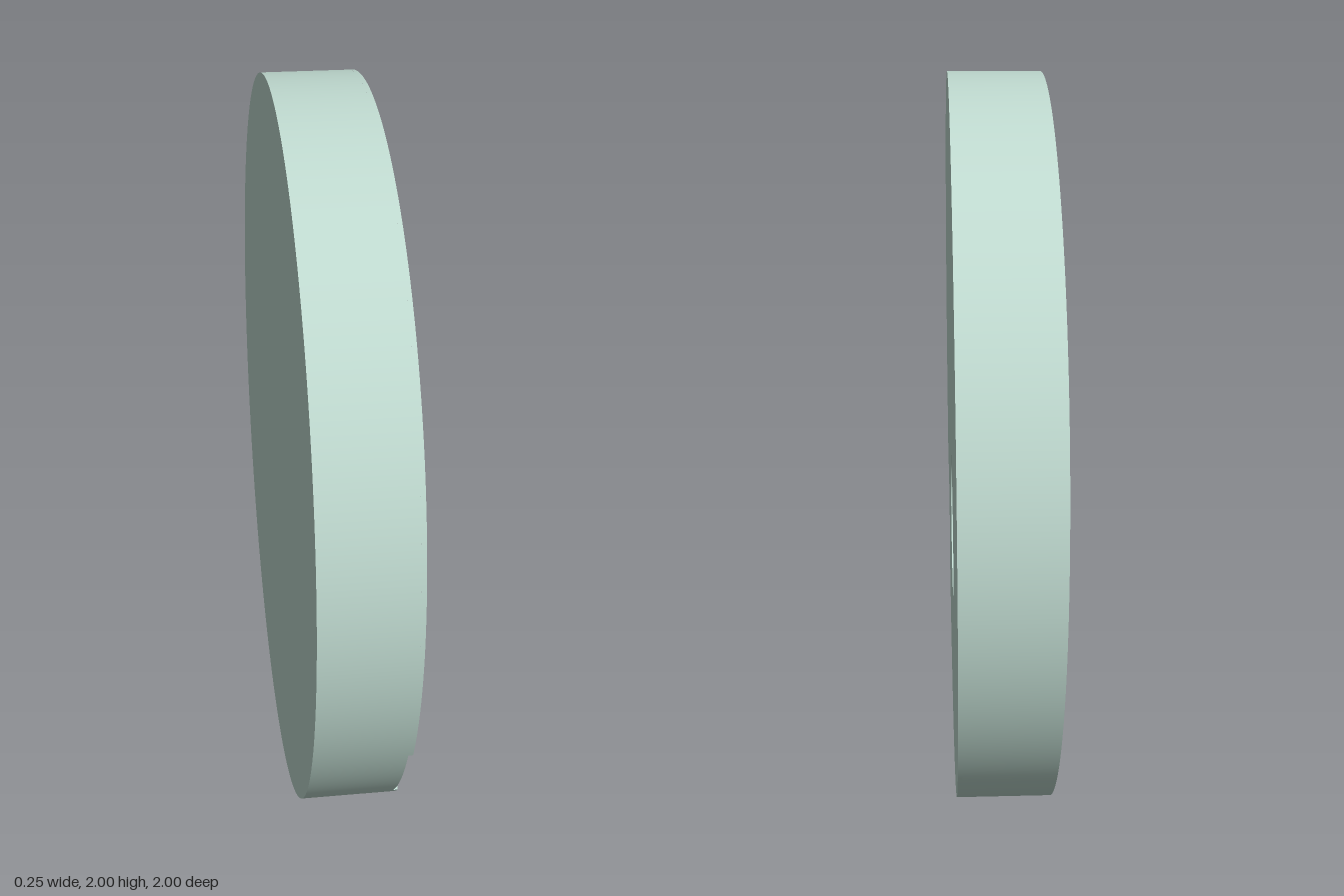
import * as THREE from 'three';

export function createModel() {
  const group = new THREE.Group();
  group.name = 'disc';
  // Local frame: disc lies in the XY plane with its recessed face towards +Z
  const disc = new THREE.Group();
  disc.name = 'recessedDisc';
  disc.rotation.y = Math.PI / 2;
  disc.position.y = 1;
  group.add(disc);

  const material = new THREE.MeshStandardMaterial({ color: 0xbcd6cc });
  const inner = material.clone();
  inner.side = THREE.BackSide;

  const back = -0.125, front = 0.125;
  const hole = { x: 0.055, y: -0.255, r: 0.2, floor: front - 0.04 };
  const notch = { x: -0.815, y: -0.565, r: 0.165, floor: front - 0.012 };

  // Angles at which the notch circle crosses the unit rim
  const d = Math.hypot(notch.x, notch.y);
  const phi = Math.atan2(notch.y, notch.x);
  const alpha = Math.acos((1 + d * d - notch.r ** 2) / (2 * d));
  const beta = Math.atan2(Math.sin(alpha), Math.cos(alpha) - d);
  const TAU = Math.PI * 2;

  const add = (name, geometry, mat = material) => {
    const mesh = new THREE.Mesh(geometry, mat);
    mesh.name = name;
    disc.add(mesh);
    return mesh;
  };
  const flat = (name, shape, z) => {
    add(name, new THREE.ShapeGeometry(shape, 160)).position.z = z;
  };
  // Cylindrical wall spanning polar angles a0..a0+sweep and depths z0..z1
  const wall = (name, c, z0, z1, a0, sweep, mat) => {
    const g = new THREE.CylinderGeometry(c.r, c.r, z1 - z0, 160, 1, true, a0 + Math.PI / 2, sweep);
    g.rotateX(Math.PI / 2).translate(c.x, c.y, (z0 + z1) / 2);
    add(name, g, mat);
  };

  // Plain back and rim, with the upper rim broken by the notch
  const rim = { x: 0, y: 0, r: 1 };
  add('backFace', new THREE.CircleGeometry(1, 160).rotateY(Math.PI).translate(0, 0, back));
  wall('rim', rim, back, notch.floor, phi + alpha, TAU);
  wall('rimEdge', rim, notch.floor, front, phi + alpha, TAU - 2 * alpha);

  // Front face, cut by the round recess and the edge notch
  const face = new THREE.Shape();
  face.absarc(0, 0, 1, phi + alpha, phi + TAU - alpha, false);
  face.absarc(notch.x, notch.y, notch.r, phi + TAU - beta, phi + beta, true);
  face.holes.push(new THREE.Path().absarc(hole.x, hole.y, hole.r, 0, TAU, true));
  flat('frontFace', face, front);

  // Round recess
  wall('recessWall', hole, hole.floor, front, 0, TAU, inner);
  add('recessFloor', new THREE.CircleGeometry(hole.r, 160).translate(hole.x, hole.y, hole.floor));

  // Shallow notch at the rim
  wall('notchWall', notch, notch.floor, front, phi + beta, TAU - 2 * beta, inner);
  const floor = new THREE.Shape();
  floor.absarc(0, 0, 1, phi - alpha, phi + alpha, false);
  floor.absarc(notch.x, notch.y, notch.r, phi + beta, phi + TAU - beta, false);
  flat('notchFloor', floor, notch.floor);

  return group;
}
